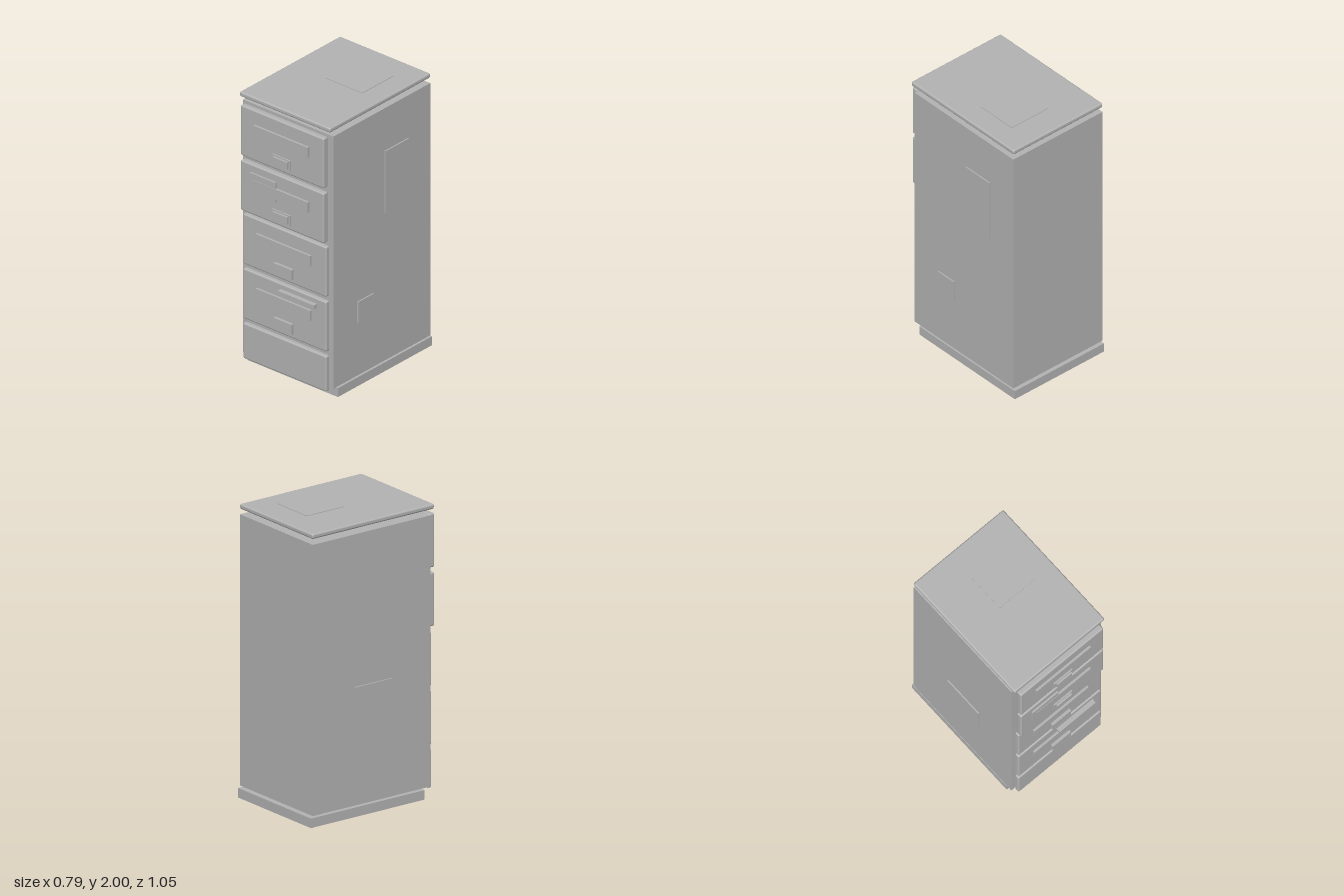
import * as THREE from 'three';
import { RoundedBoxGeometry } from 'three/addons/geometries/RoundedBoxGeometry.js';

export function createModel() {
  const group = new THREE.Group();
  const grey = new THREE.MeshStandardMaterial({ color: 0xb4b4b4 });
  grey.name = 'plain grey';

  // Box given by its limits on each axis; a radius softens the edges
  function block(name, [x0, x1], [y0, y1], [z0, z1], radius = 0) {
    const size = [x1 - x0, y1 - y0, z1 - z0];
    const geometry = radius
      ? new RoundedBoxGeometry(...size, 2, radius)
      : new THREE.BoxGeometry(...size);
    const mesh = new THREE.Mesh(geometry, grey);
    mesh.name = name;
    mesh.position.set((x0 + x1) / 2, (y0 + y1) / 2, (z0 + z1) / 2);
    return mesh;
  }

  // Cabinet: recessed plinth, body and a floating top board
  group.add(
    block('plinth', [-0.385, 0.383], [0, 0.065], [-0.527, 0.398]),
    block('body', [-0.385, 0.383], [0.079, 1.924], [-0.512, 0.443]),
    block('topBoard', [-0.386, 0.383], [1.961, 1.996], [-0.515, 0.477], 0.012),
    block('topSheet', [-0.08, 0.23], [1.99, 2], [-0.325, -0.02])
  );

  // Thin patches on the two sides
  group.add(
    block('leftTallPatch', [0.38, 0.392], [1.16, 1.613], [-0.29, -0.062]),
    block('leftSmallPatch', [0.38, 0.392], [0.465, 0.62], [0.054, 0.208]),
    block('rightPatch', [-0.394, -0.38], [0.655, 0.885], [-0.175, 0.13])
  );

  // Drawers from top to bottom; the upper two are slightly pulled out
  const drawers = [
    { y: [1.553, 1.92], z: 0.503, open: true, fittings: true },
    { y: [1.152, 1.518], z: 0.503, open: true, fittings: true },
    { y: [0.75, 1.116], z: 0.479, fittings: true },
    { y: [0.35, 0.716], z: 0.479, fittings: true },
    { y: [0.058, 0.317], z: 0.479 },
  ];
  drawers.forEach(({ y: [bottom, top], z, open, fittings }, i) => {
    const drawer = new THREE.Group();
    drawer.name = 'drawer' + (i + 1);
    const back = open ? z - 0.045 : z - 0.038;
    drawer.add(block('drawerFront', [-0.355, 0.352], [bottom, top], [back, z], 0.011));
    if (open) {
      drawer.add(block('drawerBox', [-0.335, 0.332], [bottom + 0.005, top - 0.065], [0.42, back + 0.01]));
    }
    if (fittings) {
      // Label strip and pull
      drawer.add(
        block('label', [-0.233, 0.23], [bottom + 0.19, bottom + 0.266], [z - 0.01, z + 0.016]),
        block('pull', [-0.079, 0.077], [bottom + 0.036, bottom + 0.11], [z - 0.01, z + (open ? 0.01 : 0.02)])
      );
      if (open) {
        drawer.add(block('pullGrip', [-0.063, 0.061], [bottom + 0.048, bottom + 0.1], [z, z + 0.024]));
      }
    }
    group.add(drawer);
  });

  // Extra sticker on the second drawer and strip on the fourth
  group.add(
    block('sticker', [-0.265, -0.046], [1.316, 1.462], [0.495, 0.516]),
    block('drawerStrip', [-0.032, 0.277], [0.65, 0.678], [0.47, 0.512])
  );

  return group;
}
